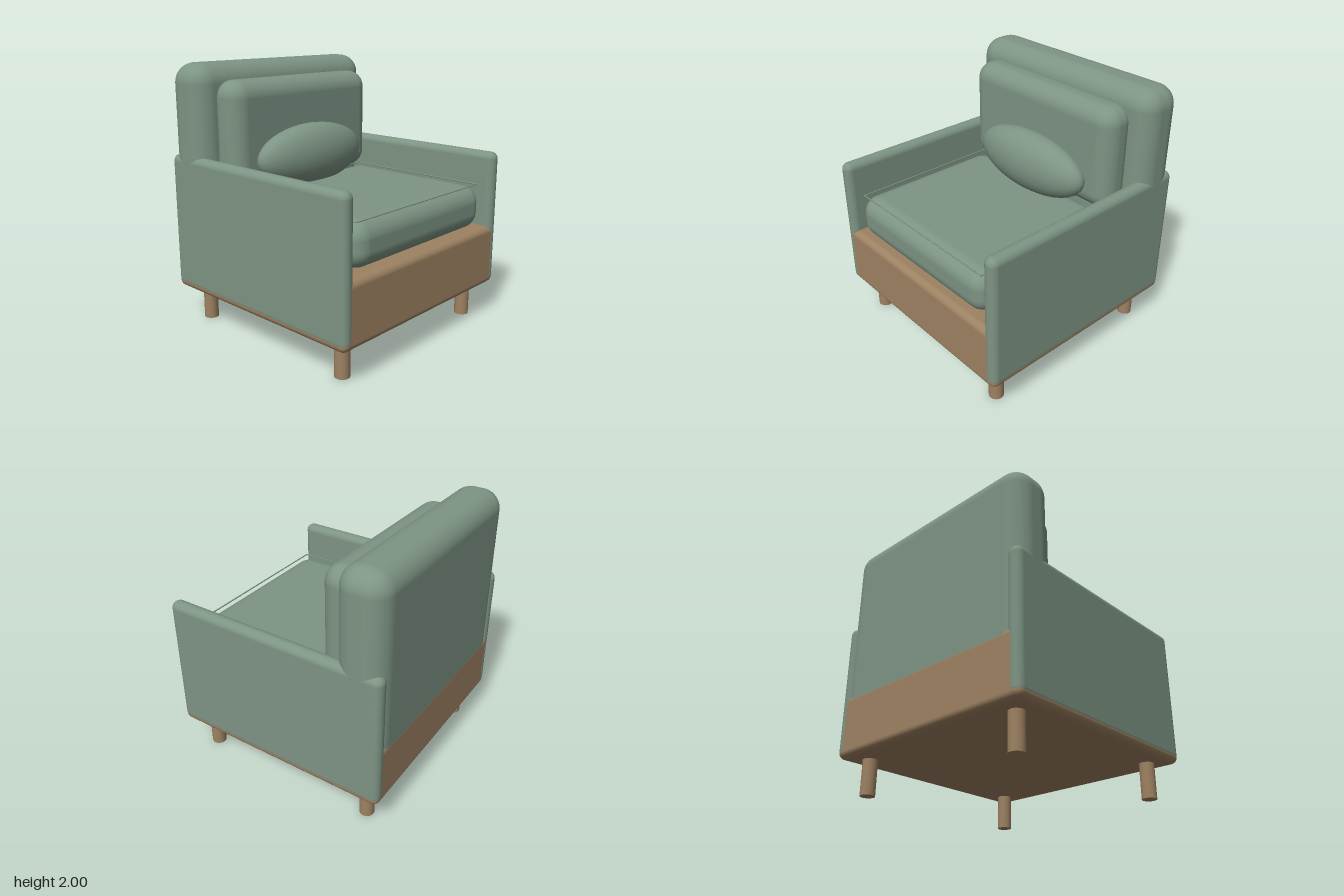
import * as THREE from 'three';
import { RoundedBoxGeometry } from 'three/addons/geometries/RoundedBoxGeometry.js';

export function createModel() {
  const chair = new THREE.Group();
  chair.name = 'armchair';

  const fabric = new THREE.MeshStandardMaterial({ color: 0x7d9484 });
  fabric.name = 'sage fabric';
  const wood = new THREE.MeshStandardMaterial({ color: 0x9e8262 });
  wood.name = 'light wood';

  const add = (name, geometry, material, x, y, z) => {
    const mesh = new THREE.Mesh(geometry, material);
    mesh.name = name;
    mesh.position.set(x, y, z);
    chair.add(mesh);
    return mesh;
  };

  // Rounded block given by its [min, max] extents on each axis
  const block = (name, material, [x0, x1], [y0, y1], [z0, z1], radius) =>
    add(name, new RoundedBoxGeometry(x1 - x0, y1 - y0, z1 - z0, 6, radius), material,
      (x0 + x1) / 2, (y0 + y1) / 2, (z0 + z1) / 2);

  // Base and backrest
  block('base', wood, [-0.884, 0.884], [0.265, 0.74], [-0.884, 0.884], 0.05);
  block('backrest', fabric, [-0.886, 0.886], [0.53, 2], [-0.883, -0.515], 0.15);

  // Arms
  block('leftArm', fabric, [0.776, 0.886], [0.28, 1.32], [-0.886, 0.886], 0.054);
  block('rightArm', fabric, [-0.886, -0.776], [0.28, 1.32], [-0.886, 0.886], 0.054);

  // Cushions
  block('seatCushion', fabric, [-0.725, 0.725], [0.745, 1.08], [-0.42, 0.85], 0.13);
  block('backCushion', fabric, [-0.725, 0.725], [1.08, 1.88], [-0.6, -0.31], 0.13);

  // Lumbar pillow
  const pillow = add('pillow', new THREE.SphereGeometry(1, 40, 24), fabric, 0, 1.28, -0.28);
  pillow.scale.set(0.54, 0.24, 0.17);

  // Thin piping around the top of the seat
  const piping = (name, length, x, z, alongX) => {
    const bar = add(name, new THREE.CylinderGeometry(0.005, 0.005, length, 8), fabric, x, 1.084, z);
    if (alongX) bar.rotation.z = Math.PI / 2;
    else bar.rotation.x = Math.PI / 2;
  };
  piping('frontPiping', 1.38, 0, 0.81, true);
  piping('backPiping', 1.38, 0, -0.38, true);
  piping('leftPiping', 1.19, 0.687, 0.215, false);
  piping('rightPiping', 1.19, -0.687, 0.215, false);

  // Legs
  for (const [sx, side] of [[1, 'Left'], [-1, 'Right']]) {
    for (const [sz, end] of [[1, 'front'], [-1, 'back']]) {
      add(`${end}${side}Leg`, new THREE.CylinderGeometry(0.055, 0.055, 0.29, 24), wood,
        sx * 0.71, 0.145, sz * 0.71);
    }
  }

  return chair;
}
